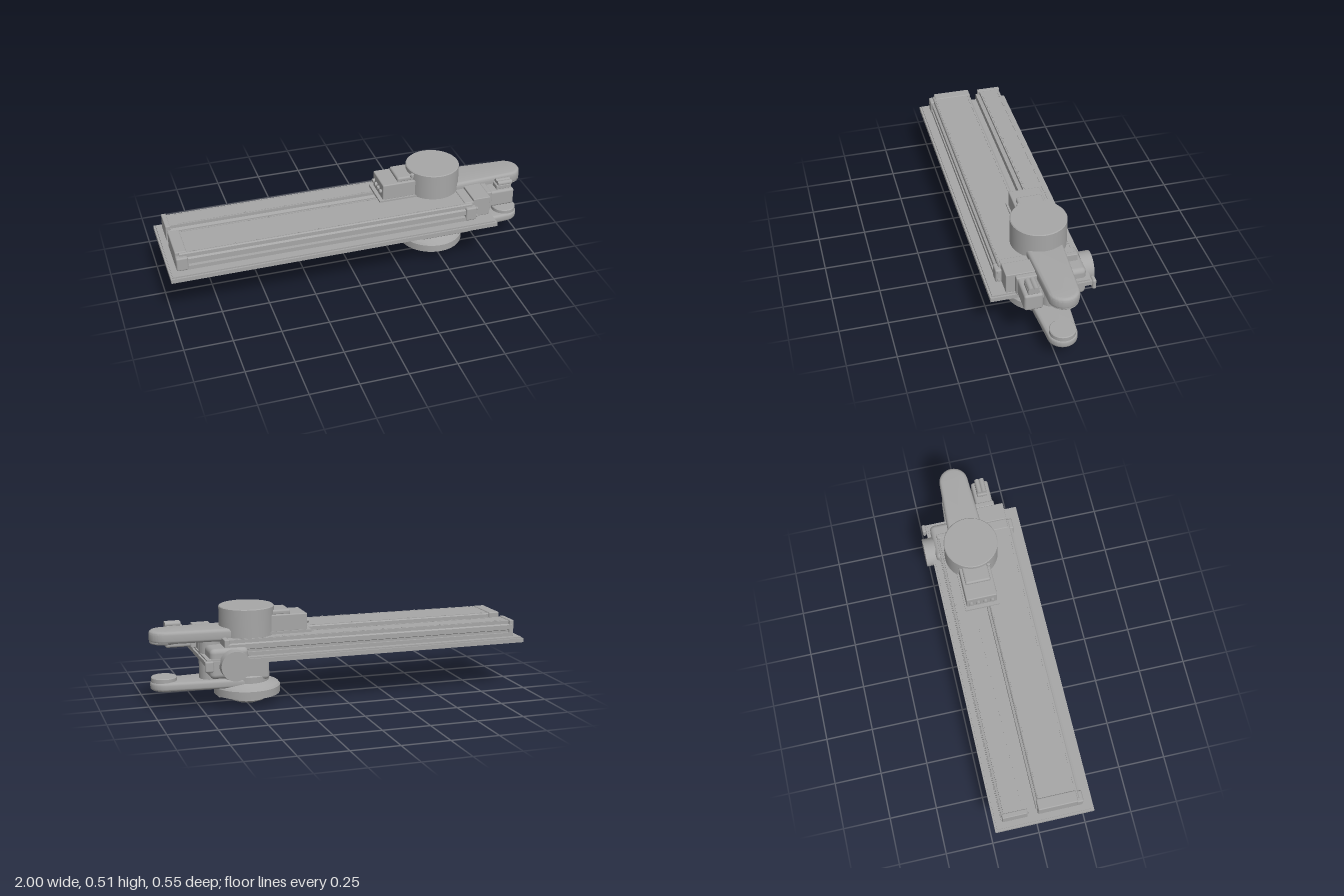
import * as THREE from 'three';
import { RoundedBoxGeometry } from 'three/addons/geometries/RoundedBoxGeometry.js';
import { toCreasedNormals } from 'three/addons/utils/BufferGeometryUtils.js';

export function createModel() {
  const root = new THREE.Group();
  const grey = new THREE.MeshStandardMaterial({ color: 0xa6a6a6 });
  grey.name = 'machine grey';

  const add = (name, geo) => {
    const m = new THREE.Mesh(geo, grey);
    m.name = name;
    root.add(m);
    return m;
  };
  // Box given by its limits, optionally rounded
  const box = (name, x0, x1, y0, y1, z0, z1, r = 0) => {
    const s = [x1 - x0, y1 - y0, z1 - z0];
    const g = r ? new RoundedBoxGeometry(...s, 3, r) : new THREE.BoxGeometry(...s);
    return add(name, g.translate((x0 + x1) / 2, (y0 + y1) / 2, (z0 + z1) / 2));
  };
  // Upright turned part, profile of [radius, height]
  const turned = (name, x, z, pts) => add(name, toCreasedNormals(
    new THREE.LatheGeometry(pts.map(p => new THREE.Vector2(...p)), 48), 0.5).translate(x, 0, z));
  const drum = (name, x, z, r, y0, y1) =>
    turned(name, x, z, [[0, y0], [r - 0.006, y0], [r, y0 + 0.006], [r, y1 - 0.004], [r - 0.004, y1], [0, y1]]);
  // Profile of [z, y] pulled along x
  const rail = (name, pts, x0, x1) => add(name, new THREE.ExtrudeGeometry(
    new THREE.Shape(pts.map(([z, y]) => new THREE.Vector2(-z, y))),
    { depth: x1 - x0, bevelEnabled: false }).rotateY(Math.PI / 2).translate(x0, 0, 0));
  // Tapered arm with a round end, bevelled edges
  const arm = (name, x0, x1, w0, r, y0, y1, bevel) => {
    const s = new THREE.Shape();
    s.moveTo(x0, -w0 + bevel);
    s.lineTo(x1 - r, -r + bevel);
    s.absarc(x1 - r, 0, r - bevel, -Math.PI / 2, Math.PI / 2, false);
    s.lineTo(x0, w0 - bevel);
    s.closePath();
    const g = new THREE.ExtrudeGeometry(s, { depth: y1 - y0 - 2 * bevel, bevelThickness: bevel,
      bevelSize: bevel, bevelSegments: 4, curveSegments: 24 });
    return add(name, toCreasedNormals(g.rotateX(-Math.PI / 2).translate(0, y0 + bevel, -0.033), 0.5));
  };

  // Base plate with a stepped rim
  box('basePlate', -1, 0.75, 0.25, 0.272, -0.235, 0.28);
  box('plateStep', -0.99, 0.74, 0.272, 0.279, -0.225, 0.27);

  // Two slotted beams
  rail('frontBeam', [[0, 0.279], [0.225, 0.279], [0.225, 0.3], [0.205, 0.3], [0.205, 0.315],
    [0.222, 0.315], [0.222, 0.34], [0.21, 0.345], [0.21, 0.365], [0.205, 0.37], [0.005, 0.37],
    [0, 0.365], [0, 0.345], [-0.012, 0.34], [-0.012, 0.31], [0, 0.305]], -0.94, 0.63);
  rail('rearBeam', [[-0.195, 0.279], [-0.065, 0.279], [-0.065, 0.3], [-0.05, 0.305], [-0.05, 0.34],
    [-0.07, 0.345], [-0.07, 0.362], [-0.18, 0.362], [-0.18, 0.345], [-0.192, 0.34],
    [-0.192, 0.315], [-0.18, 0.31], [-0.18, 0.298], [-0.195, 0.298]], -0.95, 0.62);
  for (const [x0, x1] of [[-0.96, -0.9], [0.59, 0.65]]) {
    box('frontBeamEnd', x0, x1, 0.279, 0.375, -0.005, 0.2, 0.006);
    box('frontBeamFoot', x0, x1, 0.28, 0.355, 0.195, 0.23, 0.008);
  }
  box('rearBeamEnd', -0.96, -0.935, 0.279, 0.366, -0.19, -0.06, 0.004);
  box('rearBeamEnd', 0.615, 0.64, 0.279, 0.366, -0.19, -0.06, 0.004);
  // Rows of screws and cover seams
  for (const [z, y] of [[-0.172, 0.362], [-0.08, 0.362], [0.012, 0.37], [0.198, 0.37]]) {
    box('coverSeam', -0.89, 0.58, y, y + 0.002, z - 0.003, z + 0.003);
    for (let i = 0; i < 14; i++)
      add('railScrew', new THREE.CylinderGeometry(0.005, 0.005, 0.004, 8)
        .translate(-0.86 + i * 0.108, y + 0.002, z));
  }

  // Gearbox and drive motor at the beam end
  box('gearbox', 0.64, 0.735, 0.28, 0.388, 0.01, 0.2, 0.004);
  box('driveMotor', 0.735, 0.895, 0.288, 0.38, 0.057, 0.15, 0.012);
  box('motorCollar', 0.735, 0.765, 0.282, 0.385, 0.052, 0.155, 0.006);
  box('connectorBase', 0.8, 0.885, 0.378, 0.402, 0.075, 0.13, 0.005);
  for (const z of [0.09, 0.115])
    add('connector', new THREE.CylinderGeometry(0.014, 0.014, 0.08, 16)
      .rotateZ(Math.PI / 2).translate(0.85, 0.407, z));
  for (const y of [0.295, 0.34])
    add('endBolt', new THREE.CylinderGeometry(0.009, 0.009, 0.008, 12)
      .rotateZ(Math.PI / 2).translate(0.653, y, 0.213));

  // Big drum with its control box
  drum('mainDrum', 0.487, -0.03, 0.143, 0.279, 0.511);
  box('controlBox', 0.185, 0.42, 0.375, 0.465, -0.12, 0.045, 0.006);
  box('controlBoxLid', 0.27, 0.42, 0.46, 0.487, -0.105, 0.03, 0.01);
  box('carriagePlate', 0.165, 0.45, 0.366, 0.379, -0.13, 0.055);
  for (let i = 0; i < 4; i++)
    add('socket', new THREE.CylinderGeometry(0.011, 0.011, 0.016, 14)
      .rotateZ(Math.PI / 2).translate(0.18, 0.42, -0.095 + i * 0.038));
  drum('drumPlug', 0.35, 0.035, 0.01, 0.48, 0.505);

  // Upper arm with a cap under its tip
  arm('upperArm', 0.487, 0.995, 0.1, 0.078, 0.345, 0.41, 0.018);
  drum('upperArmCap', 0.92, -0.033, 0.074, 0.342, 0.396);

  // Body through the plate, column and side motor
  box('body', 0.52, 0.72, 0.172, 0.328, -0.215, 0.11, 0.025);
  box('bodyNeck', 0.39, 0.62, 0.13, 0.25, -0.13, 0.07, 0.02);
  drum('column', 0.685, -0.043, 0.058, 0.12, 0.36);
  add('sideMotor', new THREE.CylinderGeometry(0.076, 0.076, 0.06, 40)
    .rotateX(Math.PI / 2).translate(0.6, 0.247, -0.24));
  box('sideBracket', 0.71, 0.755, 0.222, 0.278, -0.255, -0.235, 0.008);
  box('underBox', 0.35, 0.62, 0.192, 0.25, 0.06, 0.208, 0.006);

  // Lower arm and its tool flange
  turned('lowerDisc', 0.49, -0.031, [[0, 0.05], [0.172, 0.05], [0.173, 0.09], [0.165, 0.1],
    [0.12, 0.115], [0.115, 0.118], [0.115, 0.15], [0.1, 0.155], [0.1, 0.2], [0, 0.2]]);
  arm('lowerArm', 0.49, 0.995, 0.11, 0.075, 0.098, 0.145, 0.015);
  drum('lowerArmCap', 0.925, -0.033, 0.066, 0.1, 0.166);
  drum('toolHub', 0.487, -0.032, 0.095, 0.015, 0.052);
  drum('toolFlange', 0.487, -0.025, 0.062, 0, 0.02);
  box('hubBlock', 0.4, 0.44, 0.03, 0.06, 0.015, 0.065, 0.004);
  box('discLug', 0.615, 0.645, 0.032, 0.055, -0.05, -0.01, 0.004);
  for (let i = 0; i < 8; i++) {
    const a = i * Math.PI / 4;
    add('discBolt', new THREE.CylinderGeometry(0.008, 0.008, 0.01, 10)
      .translate(0.49 + Math.cos(a) * 0.14, 0.048, -0.031 + Math.sin(a) * 0.14));
  }
  return root;
}
